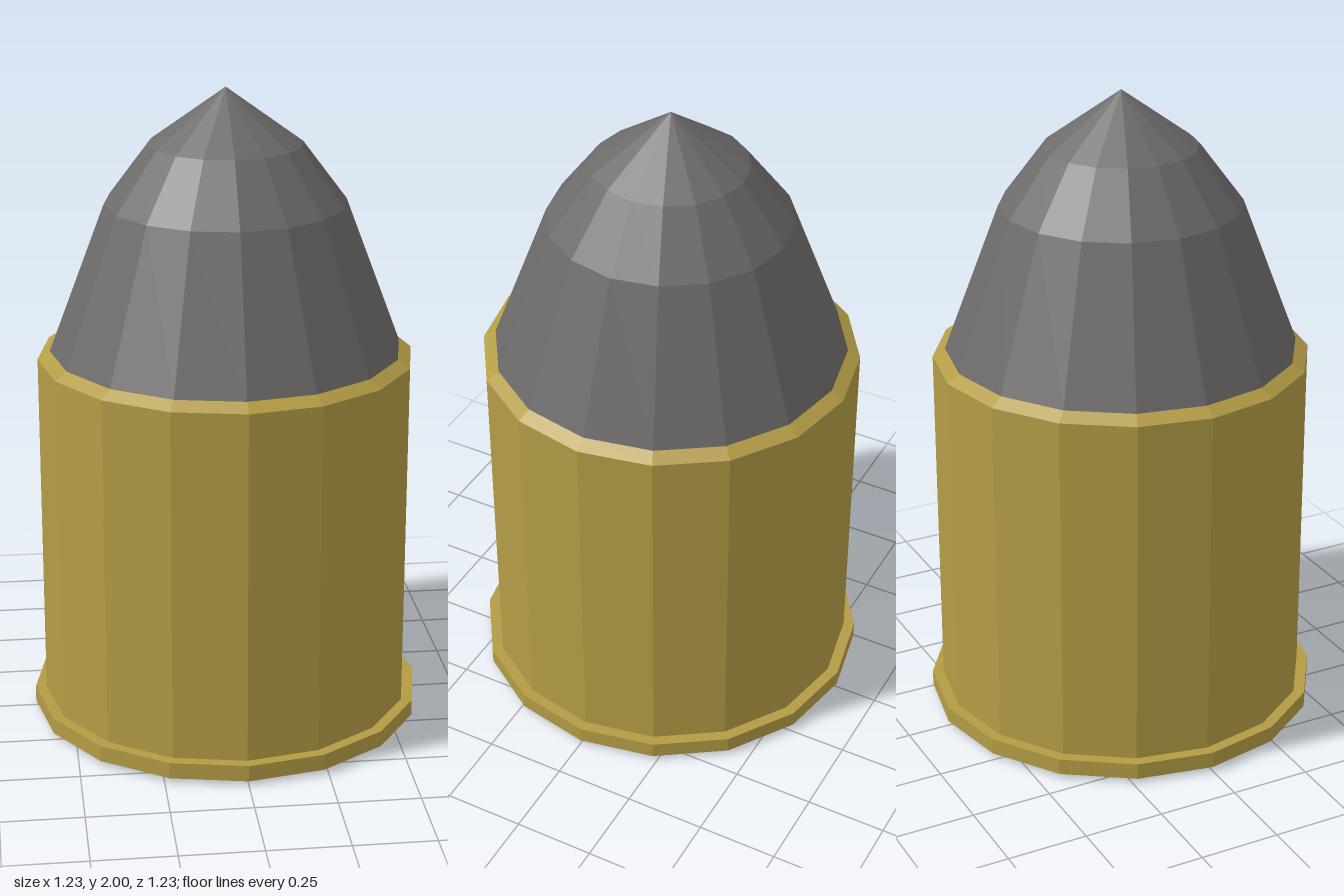
import * as THREE from 'three';

const SIDES = 16;

// Faceted solid of revolution from [radius, height] pairs, bottom to top
function turned(name, profile, material) {
  const points = profile.map(([r, y]) => new THREE.Vector2(r, y));
  const geometry = new THREE.LatheGeometry(points, SIDES).toNonIndexed();
  geometry.computeVertexNormals(); // one normal per facet
  const mesh = new THREE.Mesh(geometry, material);
  mesh.name = name;
  return mesh;
}

export function createModel() {
  const brass = new THREE.MeshStandardMaterial({ color: 0xb39c45 });
  brass.name = 'brass';
  const lead = new THREE.MeshStandardMaterial({ color: 0x6d6b6a });
  lead.name = 'lead grey';

  const model = new THREE.Group();
  model.name = 'cartridge';

  // Base rim with a small bevel underneath
  model.add(turned('rim', [[0, 0], [0.585, 0], [0.615, 0.014], [0.615, 0.065], [0.58, 0.065]], brass));

  // Straight case with a chamfered mouth
  model.add(turned('case', [[0.58, 0.065], [0.58, 1.17], [0.542, 1.195]], brass));

  // Pointed tip in three tapering bands
  model.add(turned('tip', [[0.542, 1.195], [0.37, 1.65], [0.235, 1.83], [0, 2]], lead));

  return model;
}
